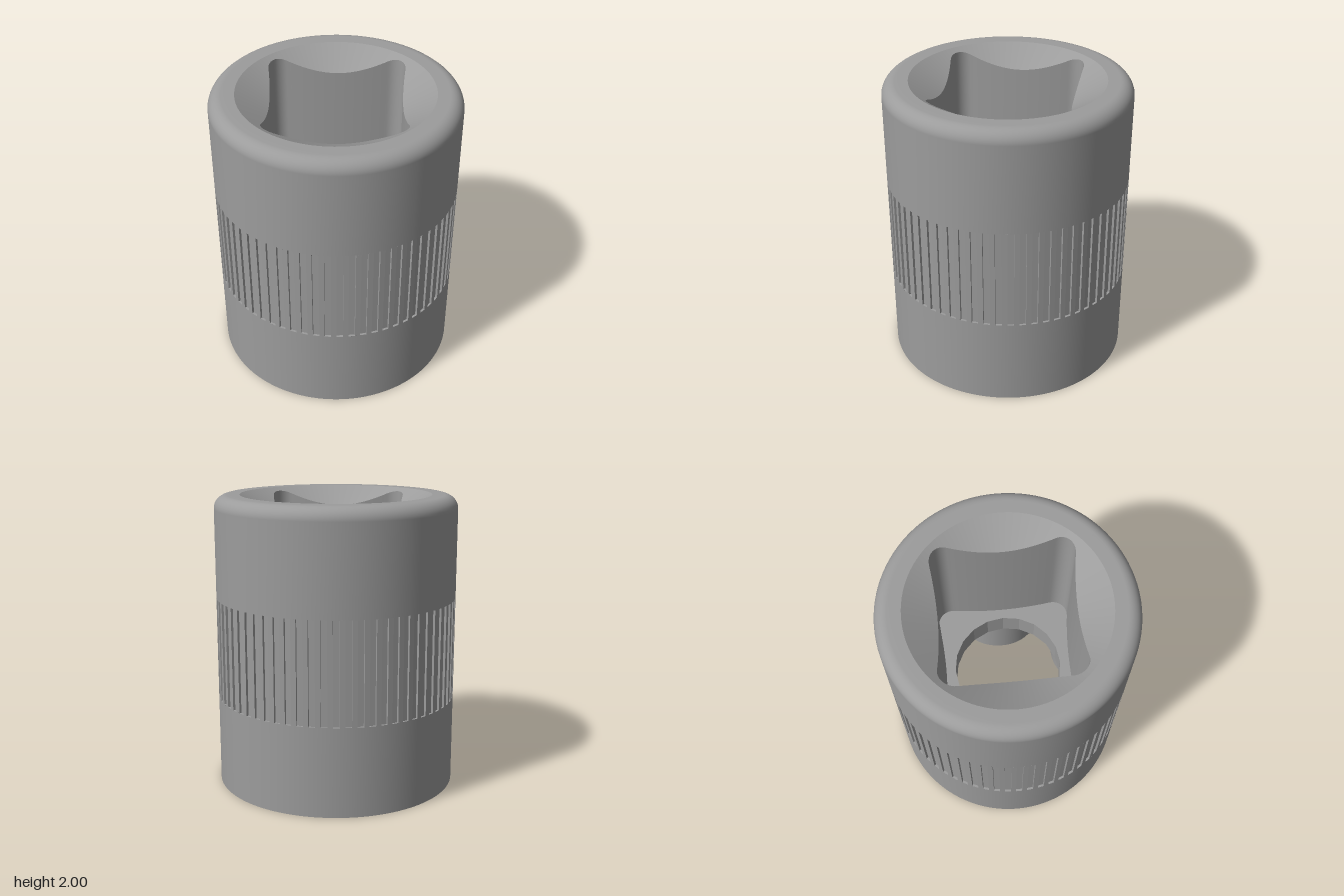
import * as THREE from 'three';

const material = new THREE.MeshStandardMaterial({ color: 0x9c9c9c, side: THREE.DoubleSide });
const R = 0.825;

// Closed outline of n rounded lobes joined by arcs that bulge towards the axis
function lobedOutline(n, tip, tipRadius, valley, phase) {
  const half = Math.PI / n;
  const c1 = tip - tipRadius;
  const big = (c1 ** 2 + valley ** 2 - 2 * c1 * valley * Math.cos(half) - tipRadius ** 2)
    / (2 * (tipRadius - valley + c1 * Math.cos(half)));
  const c2 = valley + big;
  const beta = Math.atan2(c2 * Math.sin(half), c2 * Math.cos(half) - c1);
  const gamma = beta - half;
  const points = [];
  const arc = (dist, dir, radius, from, to, steps) => {
    for (let i = 0; i < steps; i++) {
      const a = from + (to - from) * i / steps;
      points.push([dist * Math.cos(dir) + radius * Math.cos(a), dist * Math.sin(dir) + radius * Math.sin(a)]);
    }
  };
  for (let k = 0; k < n; k++) {
    const a = phase + 2 * half * k, b = a + half;
    arc(c1, a, tipRadius, a - beta, a + beta, 12);
    arc(c2, b, big, b + Math.PI + gamma, b + Math.PI - gamma, 24);
  }
  return points;
}

// Circle whose points lie at the same angles as a given outline
const circleLike = (outline, r) => outline.map(([x, z]) => {
  const s = r / Math.hypot(x, z);
  return [x * s, z * s];
});

const circle = (r, n) => Array.from({ length: n }, (_, i) => {
  const a = 2 * Math.PI * i / n;
  return [r * Math.cos(a), r * Math.sin(a)];
});

// Place an outline at a height, which may depend on the radius
const ring = (outline, y) => outline.map(([x, z]) =>
  [x, typeof y === 'function' ? y(Math.hypot(x, z)) : y, z]);

// Surface through a sequence of rings with equal point counts
function loft(rings, flat = false) {
  const n = rings[0].length;
  const index = [];
  for (let j = 0; j < rings.length - 1; j++) {
    for (let i = 0; i < n; i++) {
      const a = j * n + i, b = j * n + (i + 1) % n;
      index.push(a, a + n, b, b, a + n, b + n);
    }
  }
  let geometry = new THREE.BufferGeometry();
  geometry.setAttribute('position', new THREE.Float32BufferAttribute(rings.flat(2), 3));
  geometry.setIndex(index);
  if (flat) geometry = geometry.toNonIndexed();
  geometry.computeVertexNormals();
  return geometry;
}

// Flat face with a hole; facing is 1 for up and -1 for down
function holedFace(outline, hole, y, facing) {
  const toVectors = (points) => points.map(([x, z]) => new THREE.Vector2(x, z));
  const shape = new THREE.Shape(toVectors(outline));
  shape.holes.push(new THREE.Path(toVectors(hole)));
  return new THREE.ShapeGeometry(shape).rotateX(-facing * Math.PI / 2).translate(0, y, 0);
}

export function createModel() {
  const group = new THREE.Group();
  const part = (name, ...geometries) => {
    const g = new THREE.Group();
    g.name = name;
    geometries.forEach((geometry) => {
      const mesh = new THREE.Mesh(geometry, material);
      mesh.name = name + 'Surface';
      g.add(mesh);
    });
    group.add(g);
  };

  const square = lobedOutline(4, 0.36 * Math.SQRT2 + 0.1, 0.1, 0.435, Math.PI / 4);
  const lobes = lobedOutline(6, 0.685, 0.11, 0.49, Math.PI / 6);
  const squareCircle = (r) => circleLike(square, r);
  const lobeCircle = (r) => circleLike(lobes, r);
  const bandLow = 0.61, bandHigh = 1.305, fillet = 0.09;

  // Plain outer walls, the upper one rounded over into the flat top rim
  part('lowerWall', loft([ring(lobeCircle(R), 0), ring(lobeCircle(R), bandLow)]));
  const upper = [ring(squareCircle(R), bandHigh)];
  for (let i = 0; i <= 8; i++) {
    const a = Math.PI / 2 * i / 8;
    upper.push(ring(squareCircle(R - fillet + fillet * Math.cos(a)), 2 - fillet + fillet * Math.sin(a)));
  }
  upper.push(ring(squareCircle(0.65), 2));
  part('upperWall', loft(upper));

  // Grip band with straight grooves
  const grooves = 66, pitch = 2 * Math.PI / grooves, depth = 0.015;
  const grip = [];
  for (let k = 0; k < grooves; k++) {
    for (const [t, r] of [[-0.28, R], [-0.27, R - depth], [0.27, R - depth], [0.28, R]]) {
      const a = (k + t) * pitch;
      grip.push([r * Math.cos(a), r * Math.sin(a)]);
    }
  }
  const gripRim = circleLike(grip, R);
  part('gripBand', loft([
    ring(gripRim, bandLow), ring(grip, bandLow), ring(grip, bandHigh), ring(gripRim, bandHigh),
  ], true));

  // Square drive opening with a conical lead-in
  const squareFloor = 0.95, lobeCeiling = 0.75;
  const boreOutline = circle(0.37, 20);
  const leadIn = (r) => 2 - (0.65 - r) * 0.577;
  part('squareDrive',
    loft([ring(squareCircle(0.65), 2), ring(square, leadIn)]),
    loft([ring(square, leadIn), ring(square, squareFloor)]),
    holedFace(square, boreOutline, squareFloor, 1));

  // Faceted bore between the two openings
  part('bore', loft([ring(boreOutline, squareFloor), ring(boreOutline, lobeCeiling)], true));

  // Six-lobed opening underneath with a shallow conical lead-in
  const lobeLeadIn = (r) => (0.75 - r) * 0.36;
  part('lobedSocket',
    holedFace(lobes, boreOutline, lobeCeiling, -1),
    loft([ring(lobes, lobeCeiling), ring(lobes, lobeLeadIn)]),
    loft([ring(lobes, lobeLeadIn), ring(lobeCircle(0.75), 0)]));
  part('bottomRim', loft([ring(lobeCircle(0.75), 0), ring(lobeCircle(R), 0)]));

  return group;
}
